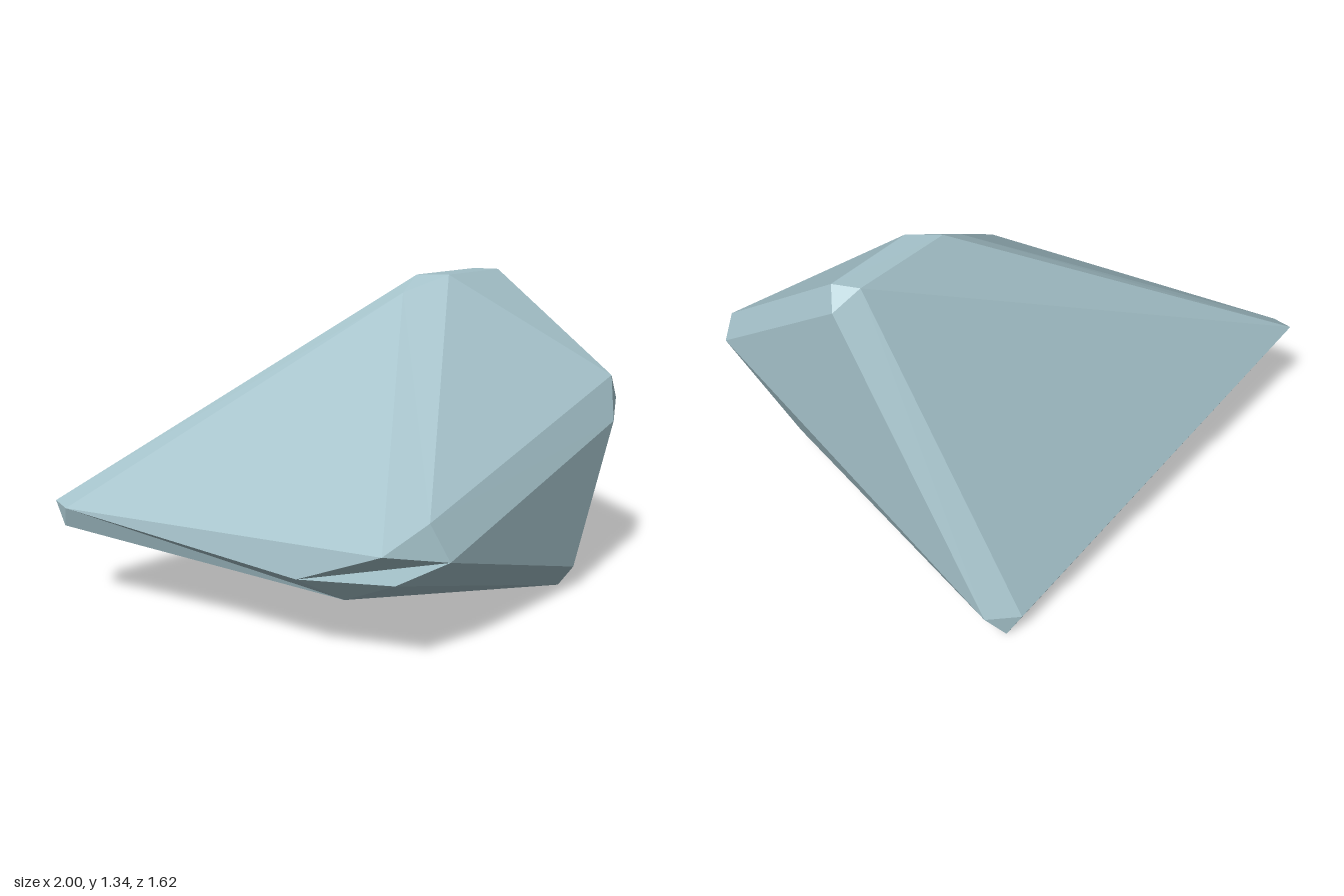
import * as THREE from 'three';

// Corners of the cut stone
const P = {
  // top ridge
  peakBack: [0.45, 1.335, -0.03], peakLow: [0.33, 1.27, -0.01], peakFront: [0.54, 1.335, 0.08],
  ridgeBack: [0.88, 1.32, -0.03], ridgeFront: [0.93, 1.32, 0.07], ridgeSide: [0.98, 1.24, 0.02],
  // back corner at +x
  backUp: [0.86, 0.1, -0.775], backSide: [0.96, 0.09, -0.67], backBase: [0.9, 0, -0.73],
  // long back tip at -x
  tipBack: [-0.98, 0.46, -0.815], tipSide: [-1, 0.45, -0.72], tipLow: [-0.98, 0.36, -0.76],
  // front shoulder at +x
  shoulderSide: [1, 0.79, 0.69], shoulderTop: [0.95, 0.9, 0.69], shoulderFront: [0.86, 0.72, 0.765],
  // front foot
  footSide: [0.69, 0.09, 0.69], footFront: [0.59, 0.11, 0.76], footBase: [0.6, 0, 0.68],
  // chipped front corner at -x
  chipTop: [-0.64, 0.49, 0.7], chipInner: [-0.41, 0.57, 0.74], chipFront: [-0.37, 0.42, 0.81],
  chipLow: [-0.61, 0.38, 0.74], chipSide: [-0.75, 0.35, 0.37], chipUnder: [-0.6, 0.25, 0.48],
  // underside
  keel: [0.3, 0, 0.16],
};

// Facets as corner loops, fanned from the first corner
const FACETS = [
  // crown
  'peakBack peakFront ridgeFront ridgeBack', 'peakBack peakLow peakFront', 'ridgeBack ridgeFront ridgeSide',
  // back and its bevels
  'ridgeBack backUp tipBack peakBack', 'tipBack backUp backBase tipLow',
  'backUp backSide backBase', 'ridgeBack ridgeSide backSide backUp',
  // +x side and its bevels
  'shoulderSide footSide backSide ridgeSide', 'backSide footSide footBase backBase',
  'footSide footFront footBase', 'shoulderSide shoulderTop shoulderFront',
  'shoulderSide shoulderFront footFront footSide', 'ridgeFront shoulderTop shoulderSide ridgeSide',
  // front
  'peakFront chipInner shoulderTop ridgeFront', 'chipInner shoulderTop shoulderFront chipFront',
  'chipFront shoulderFront footFront', 'footBase footFront chipFront chipLow chipUnder',
  // -x side and tip
  'peakLow chipTop chipInner peakFront', 'tipBack tipSide peakLow peakBack',
  'tipBack tipSide tipLow', 'tipSide chipTop peakLow', 'tipSide chipSide chipTop',
  'tipSide tipLow chipUnder chipSide',
  // chip
  'chipTop chipInner chipFront chipSide', 'chipSide chipFront chipLow', 'chipSide chipLow chipUnder',
  // underside
  'backBase footBase keel', 'keel footBase chipUnder', 'keel chipUnder tipLow', 'keel tipLow backBase',
];

// Builds flat triangles, turning each one away from the stone's middle
function facetGeometry(facets) {
  const middle = new THREE.Vector3(0.15, 0.6, 0);
  const pos = [];
  for (const facet of facets) {
    const v = facet.split(' ').map((n) => new THREE.Vector3(...P[n]));
    for (let i = 1; i < v.length - 1; i++) {
      const tri = new THREE.Triangle(v[0], v[i], v[i + 1]);
      const normal = tri.getNormal(new THREE.Vector3());
      const out = tri.getMidpoint(new THREE.Vector3()).sub(middle);
      const loop = normal.dot(out) > 0 ? [tri.a, tri.b, tri.c] : [tri.a, tri.c, tri.b];
      loop.forEach((p) => pos.push(p.x, p.y, p.z));
    }
  }
  const g = new THREE.BufferGeometry();
  g.setAttribute('position', new THREE.Float32BufferAttribute(pos, 3));
  g.computeVertexNormals();
  return g;
}

export function createModel() {
  const group = new THREE.Group();
  group.name = 'crystalRock';
  const material = new THREE.MeshStandardMaterial({ color: 0xa3c0c8, flatShading: true, side: THREE.DoubleSide });
  material.name = 'pale blue stone';
  const stone = new THREE.Mesh(facetGeometry(FACETS), material);
  stone.name = 'facetedStone';
  group.add(stone);
  return group;
}
